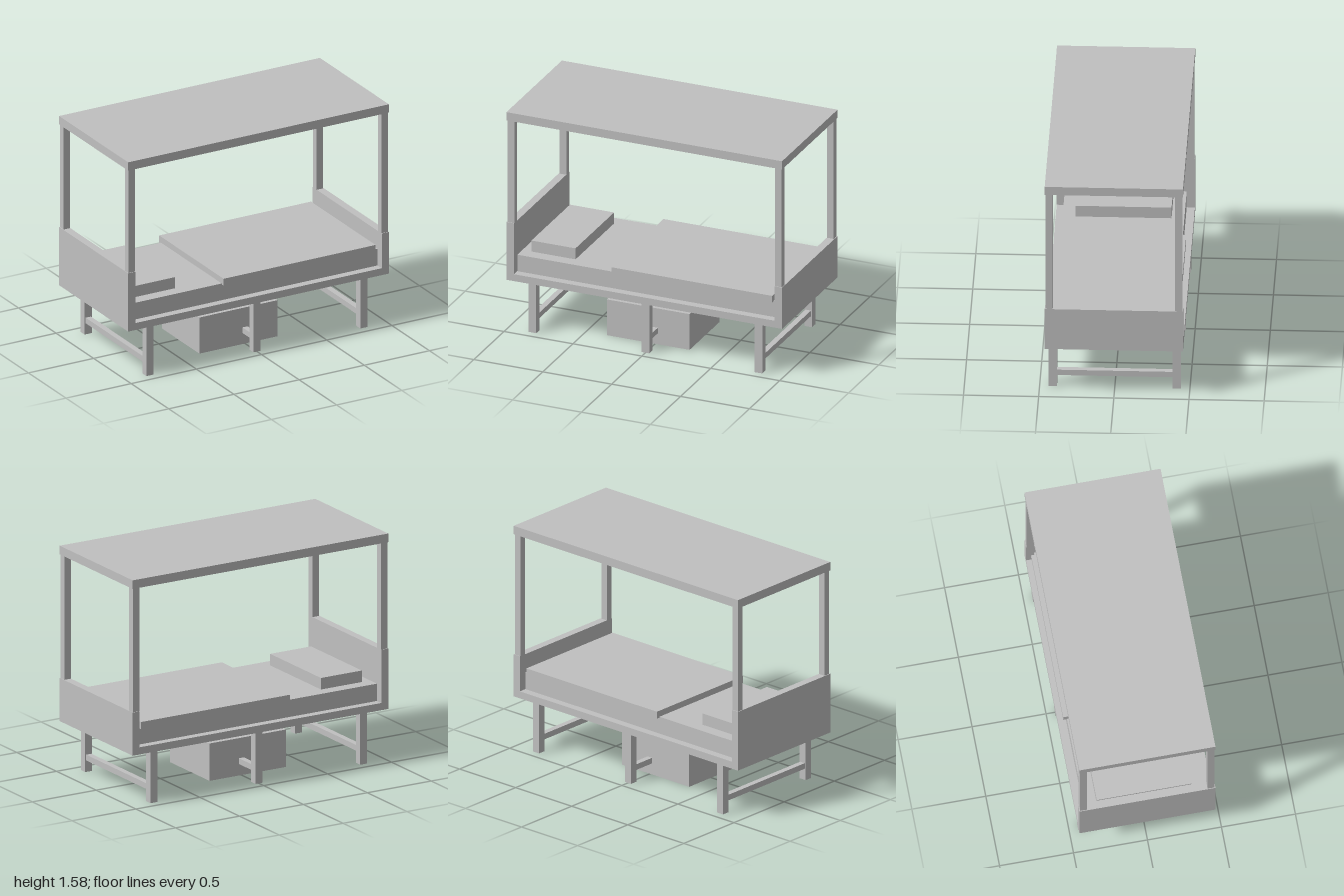
import * as THREE from 'three';

// Canopy bed with pillow, blanket and a storage box underneath
export function createModel() {
  const model = new THREE.Group();
  model.name = 'canopyBed';

  const grey = new THREE.MeshStandardMaterial({ color: 0xc0c0c0 });
  grey.name = 'light grey';

  // Box given by its extents along each axis
  function block(name, [x0, x1], [y0, y1], [z0, z1]) {
    const mesh = new THREE.Mesh(new THREE.BoxGeometry(x1 - x0, y1 - y0, z1 - z0), grey);
    mesh.name = name;
    mesh.position.set((x0 + x1) / 2, (y0 + y1) / 2, (z0 + z1) / 2);
    model.add(mesh);
  }
  const around = (centre, size) => [centre - size / 2, centre + size / 2];

  // Bed frame
  block('bedBase', [-0.945, 0.945], [0.36, 0.41], [-0.46, 0.46]);
  block('headboard', [-1, -0.945], [0.36, 0.78], [-0.46, 0.46]);
  block('footboard', [0.945, 1], [0.36, 0.66], [-0.46, 0.46]);

  // Bedding
  block('mattress', [-0.945, 0.945], [0.41, 0.53], [-0.405, 0.405]);
  block('pillow', [-0.88, -0.56], [0.53, 0.61], [-0.32, 0.32]);
  block('blanket', [-0.25, 0.915], [0.523, 0.573], [-0.43, 0.43]);

  // Canopy on four posts
  block('canopy', [-1, 1], [1.52, 1.58], [-0.46, 0.46]);
  for (const side of [-1, 1]) {
    for (const end of [-1, 1]) {
      block('canopyPost', around(side * 0.97, 0.05), [side < 0 ? 0.78 : 0.66, 1.52], around(end * 0.431, 0.048));
    }
  }

  // Three pairs of legs, each joined by a crossbar
  for (const x of [-0.82, 0, 0.82]) {
    for (const end of [-1, 1]) {
      block('leg', around(x, 0.055), [0, 0.36], around(end * 0.412, 0.055));
    }
    block('crossbar', around(x, 0.04), [0.08, 0.12], [-0.385, 0.385]);
  }

  // Box under the bed
  block('storageBox', [-0.35, 0.25], [0, 0.26], [-0.22, 0.28]);

  return model;
}
